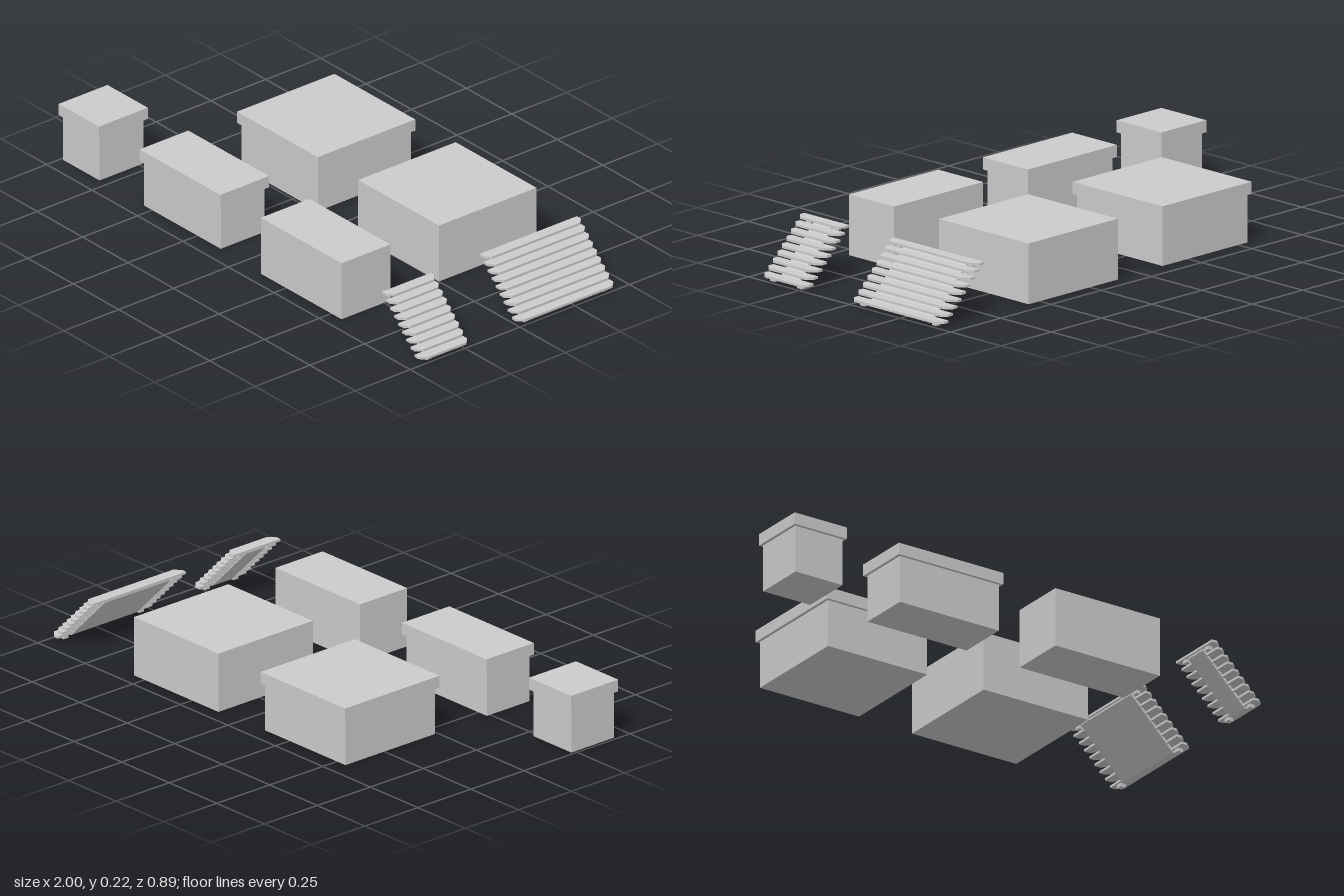
import * as THREE from 'three';

const U = 2 / 9; // layout module
const material = new THREE.MeshStandardMaterial({ color: 0xcccccc, flatShading: true });

// Box given by its minimum and maximum corners
function box(name, x0, x1, y0, y1, z0, z1) {
  const mesh = new THREE.Mesh(new THREE.BoxGeometry(x1 - x0, y1 - y0, z1 - z0), material);
  mesh.position.set((x0 + x1) / 2, (y0 + y1) / 2, (z0 + z1) / 2);
  mesh.name = name;
  return mesh;
}

// Body with an overhanging lid slab
function liddedBlock(name, x0, x1, z0, z1) {
  const group = new THREE.Group();
  const inset = 0.05 * U, lidY = 0.8 * U;
  group.name = name;
  group.add(
    box('body', x0 + inset, x1 - inset, 0, lidY, z0 + inset, z1 - inset),
    box('lid', x0, x1, lidY, U, z0, z1)
  );
  return group;
}

// Extruded polygon, centred on its depth
function extrude(points, depth) {
  const shape = new THREE.Shape(points.map(([x, y]) => new THREE.Vector2(x, y)));
  return new THREE.ExtrudeGeometry(shape, { depth, bevelEnabled: false });
}

// Open flight of nine thin treads on a sloping plate
function stairs(name, x0, z0, z1) {
  const group = new THREE.Group();
  group.name = name;
  const w = z1 - z0, step = 0.1 * U, depth = 0.2 * U, thick = 0.04 * U, cut = 0.1 * U;

  // Treads with cut front corners; drawn in plan, then laid flat
  const tread = extrude([
    [0, 0], [depth - cut, 0], [depth, cut], [depth, w - cut], [depth - cut, w], [0, w]
  ], thick);
  tread.rotateX(-Math.PI / 2);
  for (let i = 0; i < 9; i++) {
    const mesh = new THREE.Mesh(tread, material);
    mesh.name = 'tread';
    mesh.position.set(x0 + i * step, 0.9 * U - i * step - thick, z1);
    group.add(mesh);
  }

  // Sloping plate under the treads
  const inset = 0.3 * U;
  const plate = new THREE.Mesh(extrude([
    [0.03 * U, 0.83 * U], [0.83 * U, 0.03 * U], [0.89 * U, 0.03 * U], [0.06 * U, 0.86 * U], [0.03 * U, 0.86 * U]
  ], w - 2 * inset), material);
  plate.name = 'slopingPlate';
  plate.position.set(x0, 0, z0 + inset);
  group.add(plate);

  // Small blocks at the top and bottom, mirrored across the flight
  for (const z of [z0 + 0.15 * U, z1 - 0.25 * U]) {
    group.add(
      box('topBracket', x0 + 0.03 * U, x0 + 0.11 * U, 0.8 * U, 0.86 * U, z, z + 0.1 * U),
      box('foot', x0 + 0.83 * U, x0 + 0.92 * U, 0, 0.06 * U, z, z + 0.1 * U)
    );
  }
  return group;
}

export function createModel() {
  const model = new THREE.Group();
  model.name = 'blockAndStairSet';
  model.add(
    liddedBlock('smallLiddedBlock', -4.5 * U, -3.5 * U, U, 2 * U),
    liddedBlock('halfLiddedBlock', -2.5 * U, -0.5 * U, U, 2 * U),
    liddedBlock('fullLiddedBlock', -2.5 * U, -0.5 * U, -2 * U, 0),
    box('halfBlock', 0.5 * U, 2.5 * U, 0, U, U, 2 * U),
    box('fullBlock', 0.5 * U, 2.5 * U, 0, U, -2 * U, 0),
    stairs('narrowStairs', 3.5 * U, U, 2 * U),
    stairs('wideStairs', 3.5 * U, -2 * U, 0)
  );
  return model;
}
